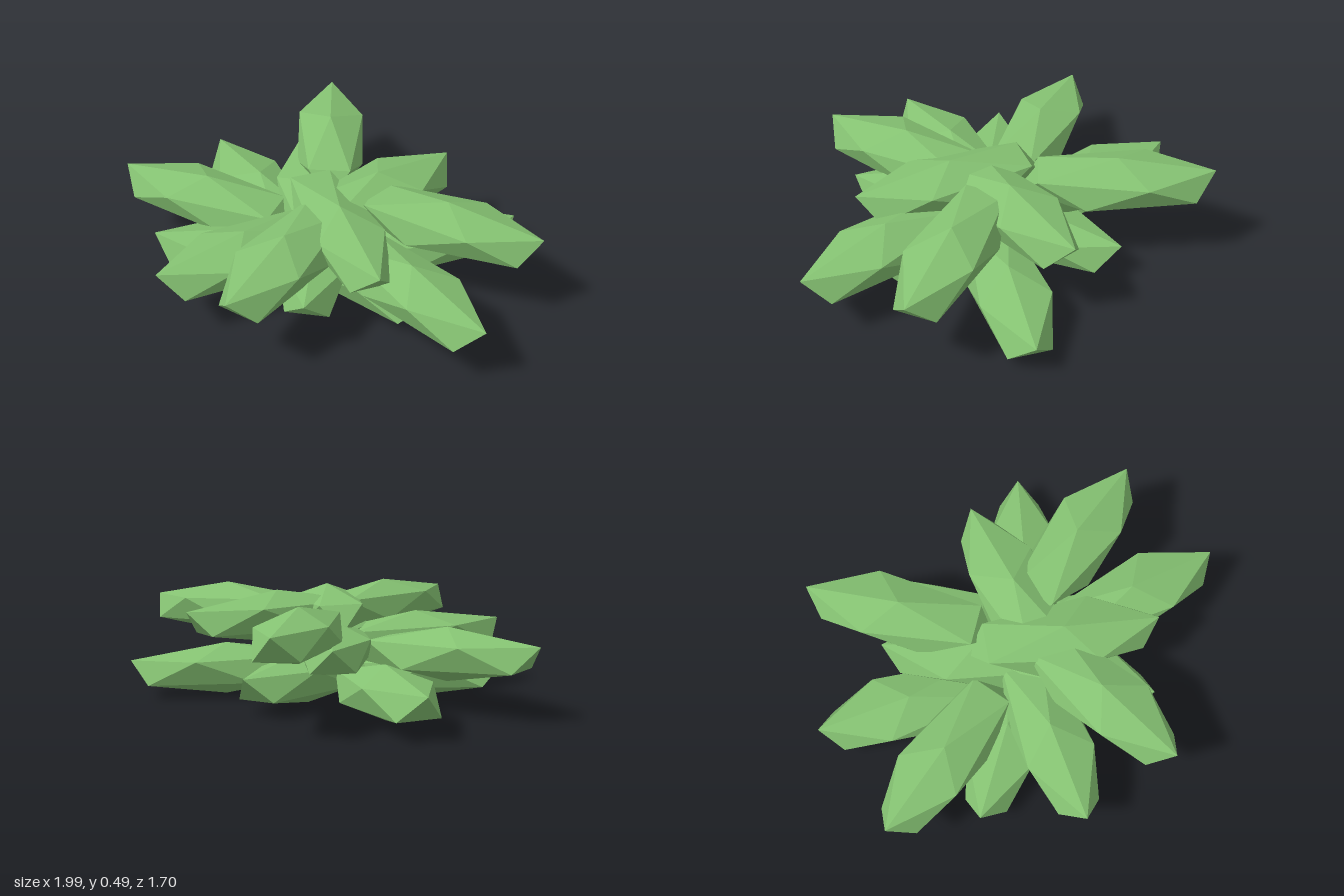
import * as THREE from 'three';

// One leaf: an icosahedron standing on a vertex, stretched along +x and leaning slightly down on the +x side
function leafGeometry(angle) {
  const g = new THREE.IcosahedronGeometry(1, 0);
  g.rotateZ(-Math.atan(2 / (1 + Math.sqrt(5))));
  g.scale(0.49, 0.12, 0.185);
  g.rotateY(-angle);
  const p = g.attributes.position;
  for (let i = 0; i < p.count; i++) p.setY(i, p.getY(i) - 0.05 * p.getX(i));
  g.computeVertexNormals();
  return g;
}

// Tiers of leaves, each leaf as [centre x, centre z, direction in degrees from +x towards +z]
const tiers = [
  {
    name: 'lowerLeaves', y: 0.12,
    leaves: [[-0.51, -0.2, 204], [-0.27, 0.2, 149], [0.36, -0.36, -51], [-0.04, -0.21, 261], [0.2, 0.03, 8]],
  },
  {
    name: 'middleLeaves', y: 0.25,
    leaves: [[-0.57, 0.12, 168], [-0.16, 0.36, 112], [0.57, 0.14, 14], [0.1, 0.17, 62], [-0.14, -0.14, 225]],
  },
  {
    name: 'upperLeaves', y: 0.37,
    leaves: [[0.1, 0.41, 86], [-0.29, -0.49, 236], [0.54, -0.2, -13], [0.17, 0.1, 33], [0.16, -0.22, -74]],
  },
];

export function createModel() {
  const plant = new THREE.Group();
  plant.name = 'plant';
  const green = new THREE.MeshStandardMaterial({ color: 0x85c272, flatShading: true });

  for (const tier of tiers) {
    const group = new THREE.Group();
    group.name = tier.name;
    for (const [x, z, degrees] of tier.leaves) {
      const leaf = new THREE.Mesh(leafGeometry(THREE.MathUtils.degToRad(degrees)), green);
      leaf.name = 'leaf';
      leaf.position.set(x, tier.y, z);
      group.add(leaf);
    }
    plant.add(group);
  }
  return plant;
}
